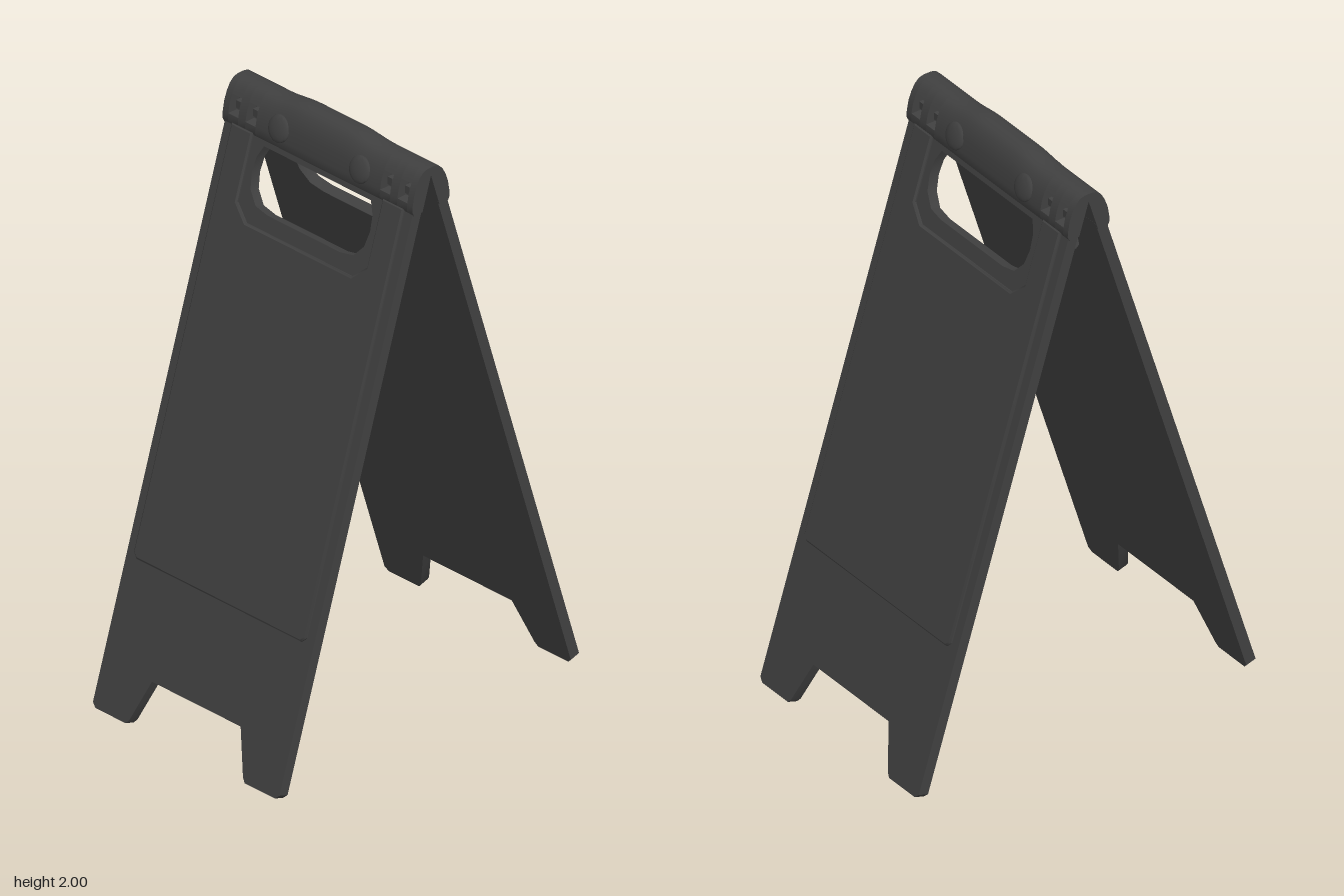
import * as THREE from 'three';
import { toCreasedNormals } from 'three/addons/utils/BufferGeometryUtils.js';

const material = new THREE.MeshStandardMaterial({ color: 0x404040 });
const APEX = 1.96, TILT = Math.atan(0.61 / APEX), THICK = 0.037;

// World height on a leaf's outer face -> height in the tilted leaf
const along = y => (y - APEX - THICK * Math.sin(TILT)) / Math.cos(TILT);
const outline = pts => pts.map(([x, y]) => new THREE.Vector2(x, along(y)));
// Right half of an outline, mirrored to a closed one
const mirrored = half => [...half, ...half.map(([x, y]) => [-x, y]).reverse()];

function mesh(name, geometry) {
  const m = new THREE.Mesh(toCreasedNormals(geometry, 0.6), material);
  m.name = name;
  return m;
}

// One leaf of the stand: board with legs and grip hole, plus raised sign face
function createLeaf(name) {
  const leaf = new THREE.Group();
  leaf.name = name;

  const board = new THREE.Shape(outline(mirrored([
    [0.195, 0.165], [0.25, 0.025], [0.262, 0.011], [0.395, 0.011], [0.41, 0.025], [0.413, 1.875],
  ])));
  board.holes.push(new THREE.Path(outline(mirrored([
    [0.16, 1.64], [0.215, 1.65], [0.25, 1.69], [0.26, 1.74], [0.255, 1.79], [0.235, 1.83],
  ]))));
  leaf.add(mesh('board', new THREE.ExtrudeGeometry(board, { depth: THICK, bevelEnabled: false })));

  // The sign face leaves a recess around the grip hole
  const face = new THREE.Shape(outline(mirrored([
    [0.36, 0.497], [0.373, 0.51], [0.373, 1.85], [0.292, 1.85], [0.292, 1.635], [0.235, 1.585],
  ])));
  const raised = new THREE.ExtrudeGeometry(face, {
    depth: 0.006, bevelThickness: 0.005, bevelSize: 0.006, bevelSegments: 1,
  });
  raised.translate(0, 0, THICK - 0.001);
  leaf.add(mesh('signFace', raised));

  leaf.position.y = APEX;
  leaf.rotation.x = -TILT;
  const side = new THREE.Group();
  side.name = name + 'Side';
  side.add(leaf);
  return side;
}

// Hinge cap cross-section (z, y), optionally with a slot in both flanks
function capShape(slotted) {
  const lower = [[0.036, 1.845], [0.072, 1.843], [0.08, 1.86], [0.078, 1.882]];
  const middle = slotted ? [[0.04, 1.882], [0.027, 1.945], [0.061, 1.945]] : [[0.072, 1.915], [0.061, 1.945]];
  const upper = [[0.048, 1.968], [0.032, 1.983], [0.014, 1.988]];
  const half = [...lower, ...middle, ...upper];
  const pts = [...half, ...half.map(([z, y]) => [-z, y]).reverse(), [0, APEX]];
  return new THREE.Shape(pts.map(([z, y]) => new THREE.Vector2(z, y)));
}

function capPiece(name, x0, x1, slotted, steps = 1) {
  const g = new THREE.ExtrudeGeometry(capShape(slotted), { depth: x1 - x0, steps, bevelEnabled: false });
  g.rotateY(-Math.PI / 2); // profile x becomes z, extrusion runs toward -x
  g.translate(x1, 0, 0);
  if (steps > 1) { // swell the middle into a grip
    const p = g.attributes.position;
    for (let i = 0; i < p.count; i++) {
      const k = 1 - THREE.MathUtils.smoothstep(Math.abs(p.getX(i)), 0.1, 0.23);
      p.setY(i, p.getY(i) + 0.012 * k * (p.getY(i) > 1.9 ? 1 : -0.5));
      p.setZ(i, p.getZ(i) * (1 - 0.03 * k));
    }
    g.computeVertexNormals();
  }
  return mesh(name, g);
}

function createHandle() {
  const handle = new THREE.Group();
  handle.name = 'handle';
  handle.add(capPiece('grip', -0.274, 0.274, false, 24));
  const cuts = [0.274, 0.318, 0.35, 0.394, 0.418];
  for (const s of [-1, 1]) {
    for (let i = 0; i < 4; i++) {
      const [a, b] = [s * cuts[i], s * cuts[i + 1]].sort((p, q) => p - q);
      handle.add(capPiece(i % 2 ? 'capRib' : 'slottedCap', a, b, i % 2 === 0));
    }
    for (const f of [-1, 1]) {
      // Round boss at each end of the grip
      const boss = mesh('gripBoss', new THREE.SphereGeometry(0.045, 24, 12));
      boss.scale.z = 0.3;
      boss.position.set(s * 0.178, 1.912, f * 0.07);
      boss.rotation.x = -f * 0.3;
      handle.add(boss);
      // Hinge knuckles inside the slots
      for (const x of [0.296, 0.372]) {
        const knuckle = mesh('hingeKnuckle', new THREE.BoxGeometry(0.02, 0.026, 0.026));
        knuckle.position.set(s * x, 1.912, f * 0.044);
        handle.add(knuckle);
      }
    }
  }
  return handle;
}

export function createModel() {
  const model = new THREE.Group();
  model.name = 'foldingFloorSign';
  const back = createLeaf('backLeaf');
  back.rotation.y = Math.PI;
  model.add(createLeaf('frontLeaf'), back, createHandle());
  return model;
}
